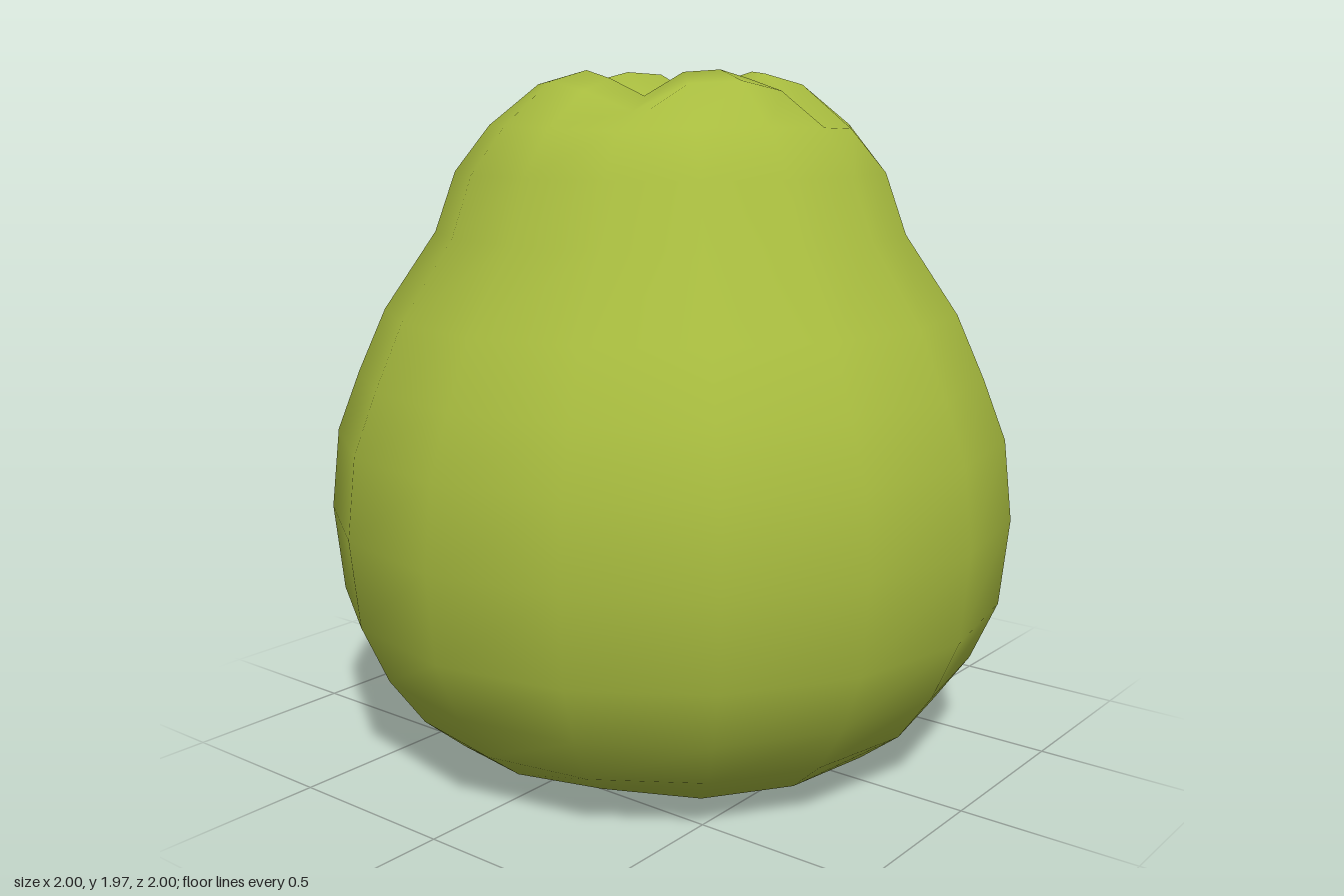
import * as THREE from 'three';

const SIDES = 16;

// Bottom to top: [radius, height, depth of the four notches at this ring]
const RINGS = [
  [0.17, 0.08, 0.015], [0.38, 0.0, 0.04], [0.68, 0.06, 0.02], [0.8, 0.16, 0],
  [0.9, 0.3, 0], [0.975, 0.47, 0], [1.0, 0.72, 0], [0.975, 0.95, 0],
  [0.91, 1.12, 0], [0.83, 1.3, 0], [0.68, 1.52, 0], [0.62, 1.69, 0],
  [0.52, 1.82, -0.01], [0.38, 1.94, -0.08], [0.27, 1.97, -0.07], [0.14, 1.87, -0.02],
];

// Strength of the notch on each of the four columns of a lobe
const NOTCH = [0.33, 1, 0.1, 0];

function fruitGeometry() {
  const positions = [];
  const index = [];
  for (const [r, y, dip] of RINGS) {
    for (let k = 0; k < SIDES; k++) {
      const a = (k / SIDES) * Math.PI * 2;
      positions.push(Math.sin(a) * r, y + dip * NOTCH[k % 4], Math.cos(a) * r);
    }
  }
  // Centres of the lower and upper hollows
  const bottom = RINGS.length * SIDES;
  const top = bottom + 1;
  positions.push(0, 0.12, 0, 0, 1.83, 0);

  const last = (RINGS.length - 1) * SIDES;
  for (let k = 0; k < SIDES; k++) {
    const n = (k + 1) % SIDES;
    index.push(bottom, n, k, top, last + k, last + n);
    for (let i = 0; i < last; i += SIDES) {
      index.push(i + k, i + n, i + SIDES + n, i + k, i + SIDES + n, i + SIDES + k);
    }
  }
  const geometry = new THREE.BufferGeometry();
  geometry.setAttribute('position', new THREE.Float32BufferAttribute(positions, 3));
  geometry.setIndex(index);
  geometry.computeVertexNormals();
  return geometry;
}

export function createModel() {
  const group = new THREE.Group();
  group.name = 'fruit';
  const skin = new THREE.MeshStandardMaterial({ color: 0xa8bc3f });
  skin.name = 'yellow green skin';
  const body = new THREE.Mesh(fruitGeometry(), skin);
  body.name = 'fruitBody';
  group.add(body);
  return group;
}
